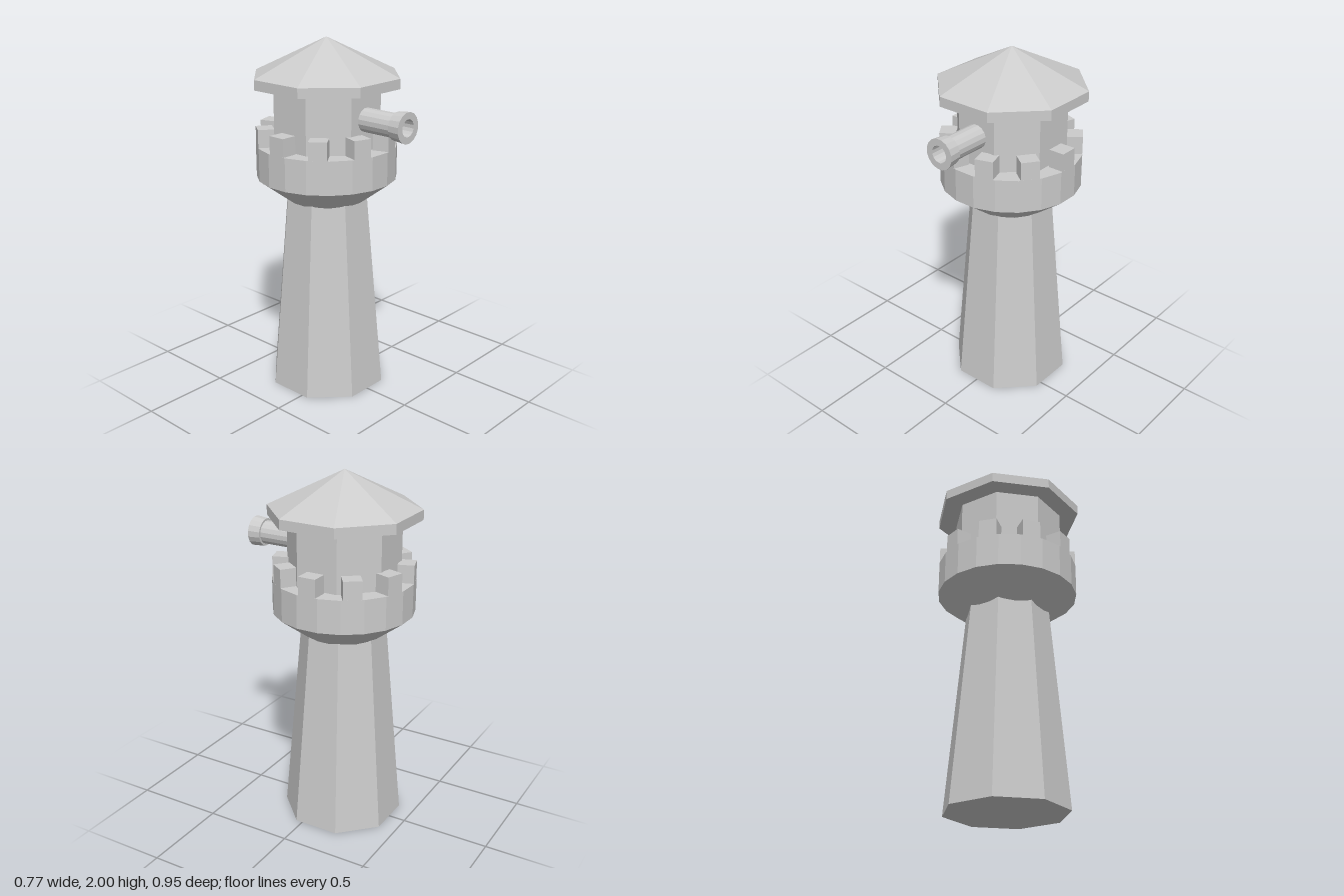
import * as THREE from 'three';

export function createModel() {
  const model = new THREE.Group();
  const tower = new THREE.Group();
  tower.name = 'watchtower';
  tower.position.z = -0.09;
  model.add(tower);

  const stone = new THREE.MeshStandardMaterial({ color: 0xcccccc, flatShading: true });
  const add = (name, geometry, parent = tower) => {
    const mesh = new THREE.Mesh(geometry, stone);
    mesh.name = name;
    parent.add(mesh);
    return mesh;
  };

  // Turned solid from [radius, height] pairs, with a flat side facing the front
  const turned = (profile, sides) =>
    new THREE.LatheGeometry(profile.map(([r, y]) => new THREE.Vector2(r, y)), sides)
      .rotateY(Math.PI / sides);
  // Converts the distance to a flat side into the corner radius of an octagon
  const oct = (apothem) => apothem / Math.cos(Math.PI / 8);

  // Tapering octagonal shaft
  add('shaft', turned([[0, 0], [oct(0.312), 0], [oct(0.216), 1.16], [0, 1.16]], 8));

  // Twenty-sided gallery with a sloping underside
  add('gallery', turned([[0, 1.1], [0.21, 1.1], [0.39, 1.235], [0.39, 1.42], [0, 1.42]], 20));

  // Ten battlements, one on every second side of the gallery
  const battlements = new THREE.Group();
  battlements.name = 'battlements';
  tower.add(battlements);
  const inner = 0.295, outer = 0.385;
  const block = new THREE.BoxGeometry(0.1, 0.11, outer - inner)
    .translate(0, 1.465, (inner + outer) / 2);
  for (let i = 0; i < 10; i++) {
    add('battlement', block, battlements).rotation.y = (i + 0.5) * Math.PI / 5;
  }

  // Octagonal lookout room
  add('lookoutRoom', turned([[0, 1.41], [oct(0.285), 1.41], [oct(0.285), 1.75], [0, 1.75]], 8));

  // Pyramid roof with a shallow vertical rim
  add('roof', turned([[0, 1.745], [oct(0.383), 1.745], [oct(0.383), 1.8], [0, 2]], 8));

  // Hollow gun barrel with a flared muzzle, pointing forward
  const barrel = turned([
    [0, 0.1], [0.065, 0.1], [0.065, 0.405], [0.077, 0.405],
    [0.084, 0.475], [0.047, 0.475], [0.047, 0.36], [0, 0.36],
  ], 16).rotateX(Math.PI / 2);
  add('gunBarrel', barrel, model).position.y = 1.593;

  return model;
}
